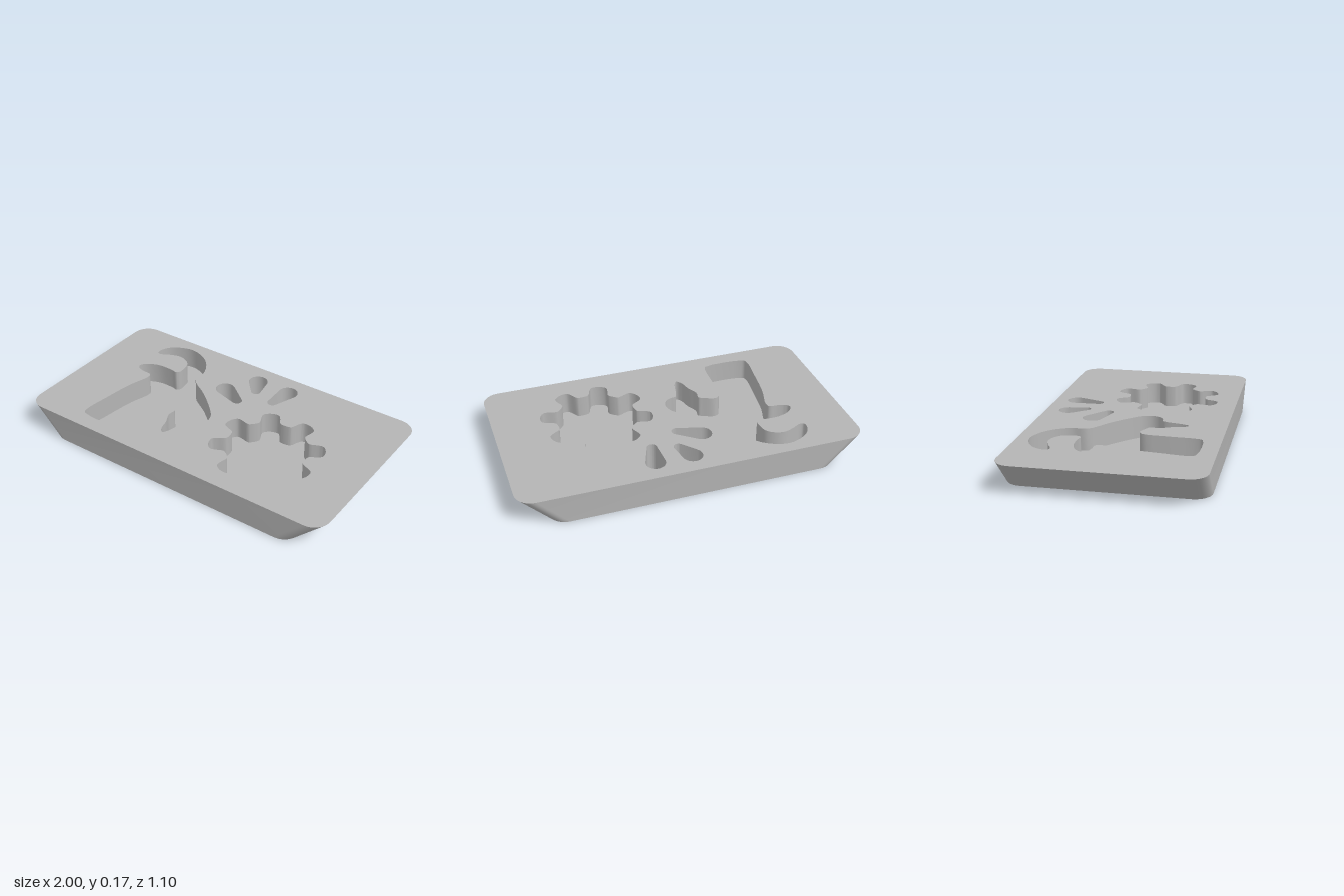
import * as THREE from 'three';
import { toCreasedNormals } from 'three/addons/utils/BufferGeometryUtils.js';

const TOP = 0.17, FLOOR = 0.04;

// Outlines are plan points (x, -z), always counter-clockwise from above.
const ccw = (pts) => (THREE.ShapeUtils.isClockWise(pts) ? pts.reverse() : pts);
const polar = (cx, cy, r, a) => new THREE.Vector2(cx + r * Math.cos(a), cy + r * Math.sin(a));

function roundedRect(hx, hy, r, seg = 10) {
  const pts = [];
  [[1, 1], [-1, 1], [-1, -1], [1, -1]].forEach(([sx, sy], q) => {
    for (let i = 0; i <= seg; i++) {
      pts.push(polar(sx * (hx - r), sy * (hy - r), r, (q + i / seg) * Math.PI / 2));
    }
  });
  return pts;
}

// Smooth closed outline through plan points given as x, z pairs
function smoothLoop(xz, samplesPerPoint) {
  const pts = [];
  for (let i = 0; i < xz.length; i += 2) pts.push(new THREE.Vector3(xz[i], -xz[i + 1], 0));
  const curve = new THREE.CatmullRomCurve3(pts, true);
  const out = [], n = pts.length * samplesPerPoint;
  for (let i = 0; i < n; i++) {
    const p = curve.getPoint(i / n);
    out.push(new THREE.Vector2(p.x, p.y));
  }
  return ccw(out);
}

// Teardrop: a large and a small circle joined by tangents
function teardrop(x1, z1, r1, x2, z2, r2, seg = 14) {
  const dx = x2 - x1, dy = z1 - z2, phi = Math.atan2(dy, dx);
  const a = Math.acos((r1 - r2) / Math.hypot(dx, dy)), pts = [];
  for (let i = 0; i <= seg; i++) pts.push(polar(x1, -z1, r1, phi + a + (i / seg) * 2 * (Math.PI - a)));
  for (let i = 0; i <= seg; i++) pts.push(polar(x2, -z2, r2, phi - a + (i / seg) * 2 * a));
  return ccw(pts);
}

function gear(cx, cz, teeth, phase) {
  const tooth = [[-18, 0.235], [-14, 0.243], [-10.5, 0.295], [-8, 0.318], [0, 0.328],
    [8, 0.318], [10.5, 0.295], [14, 0.243], [18, 0.235]];
  const xz = [];
  for (let t = 0; t < teeth; t++) {
    for (const [deg, r] of tooth) {
      const a = THREE.MathUtils.degToRad(phase + t * 360 / teeth + deg);
      xz.push(cx + r * Math.cos(a), cz - r * Math.sin(a));
    }
  }
  return smoothLoop(xz, 3);
}

// Flat face with holes at height y, facing up or down
function cap(outline, holes, y, up) {
  const shape = new THREE.Shape(outline);
  shape.holes = holes.map((h) => new THREE.Path(h));
  const geo = new THREE.ShapeGeometry(shape).rotateX(-Math.PI / 2).translate(0, y, 0);
  if (!up) {
    geo.index.array.reverse();
    geo.computeVertexNormals();
  }
  return geo;
}

// Side wall between two matching outlines, facing outward or inward
function wall(lower, y0, upper, y1, outward) {
  const pos = [], n = lower.length;
  for (let i = 0; i < n; i++) {
    const j = (i + 1) % n;
    const a = [lower[i].x, y0, -lower[i].y], b = [lower[j].x, y0, -lower[j].y];
    const c = [upper[j].x, y1, -upper[j].y], d = [upper[i].x, y1, -upper[i].y];
    pos.push(...(outward ? [a, b, c, a, c, d] : [a, c, b, a, d, c]).flat());
  }
  const geo = new THREE.BufferGeometry();
  geo.setAttribute('position', new THREE.Float32BufferAttribute(pos, 3));
  return toCreasedNormals(geo, 0.6);
}

export function createModel() {
  const model = new THREE.Group();
  model.name = 'cutoutPlate';
  const grey = new THREE.MeshStandardMaterial({ color: 0xb4b4b4 });
  grey.name = 'plain grey';
  const add = (name, geo) => {
    const mesh = new THREE.Mesh(geo, grey);
    mesh.name = name;
    model.add(mesh);
  };

  // Curved hook-and-handle pocket outline
  const hook = smoothLoop([
    -0.72, -0.36, -0.69, -0.42, -0.62, -0.465, -0.545, -0.48, -0.45, -0.45, -0.38, -0.39,
    -0.335, -0.3, -0.33, -0.21, -0.2, -0.115, -0.085, -0.015, -0.03, 0.05, -0.02, 0.105,
    -0.04, 0.15, -0.075, 0.17, -0.105, 0.175, -0.12, 0.205, -0.145, 0.305, -0.165, 0.335,
    -0.19, 0.31, -0.21, 0.24, -0.24, 0.175, -0.235, 0.125, -0.26, 0.11, -0.325, 0.085,
    -0.36, 0.105, -0.375, 0.24, -0.385, 0.42, -0.4, 0.445, -0.645, 0.445, -0.665, 0.425,
    -0.65, 0.24, -0.625, 0.065, -0.59, -0.07, -0.6, -0.1, -0.655, -0.105, -0.7, -0.12,
    -0.715, -0.145, -0.685, -0.185, -0.61, -0.215, -0.515, -0.215, -0.48, -0.21,
    -0.465, -0.23, -0.465, -0.265, -0.48, -0.325, -0.525, -0.36, -0.58, -0.37,
    -0.64, -0.35, -0.69, -0.325, -0.715, -0.33], 4);
  const pockets = { hookPocket: hook, gearPocket: gear(0.4, 0.115, 8, 73) };

  // Teardrop holes that go right through
  const drops = [
    teardrop(-0.005, -0.415, 0.058, 0.043, -0.315, 0.028),
    teardrop(0.21, -0.415, 0.058, 0.187, -0.275, 0.03),
    teardrop(-0.125, -0.235, 0.058, 0.003, -0.17, 0.031),
  ];

  // Plate body: ends slope inward toward the base, long sides are upright
  const rim = roundedRect(1, 0.55, 0.1), base = roundedRect(0.83, 0.55, 0.1);
  add('plateTop', cap(rim, [...Object.values(pockets), ...drops], TOP, true));
  add('plateSides', wall(base, 0, rim, TOP, true));
  add('plateBottom', cap(base, drops, 0, false));

  // Blind pockets
  for (const [name, outline] of Object.entries(pockets)) {
    add(name + 'Wall', wall(outline, FLOOR, outline, TOP, false));
    add(name + 'Floor', cap(outline, [], FLOOR, true));
  }
  drops.forEach((d, i) => add('teardropHole' + (i + 1), wall(d, 0, d, TOP, false)));
  return model;
}
